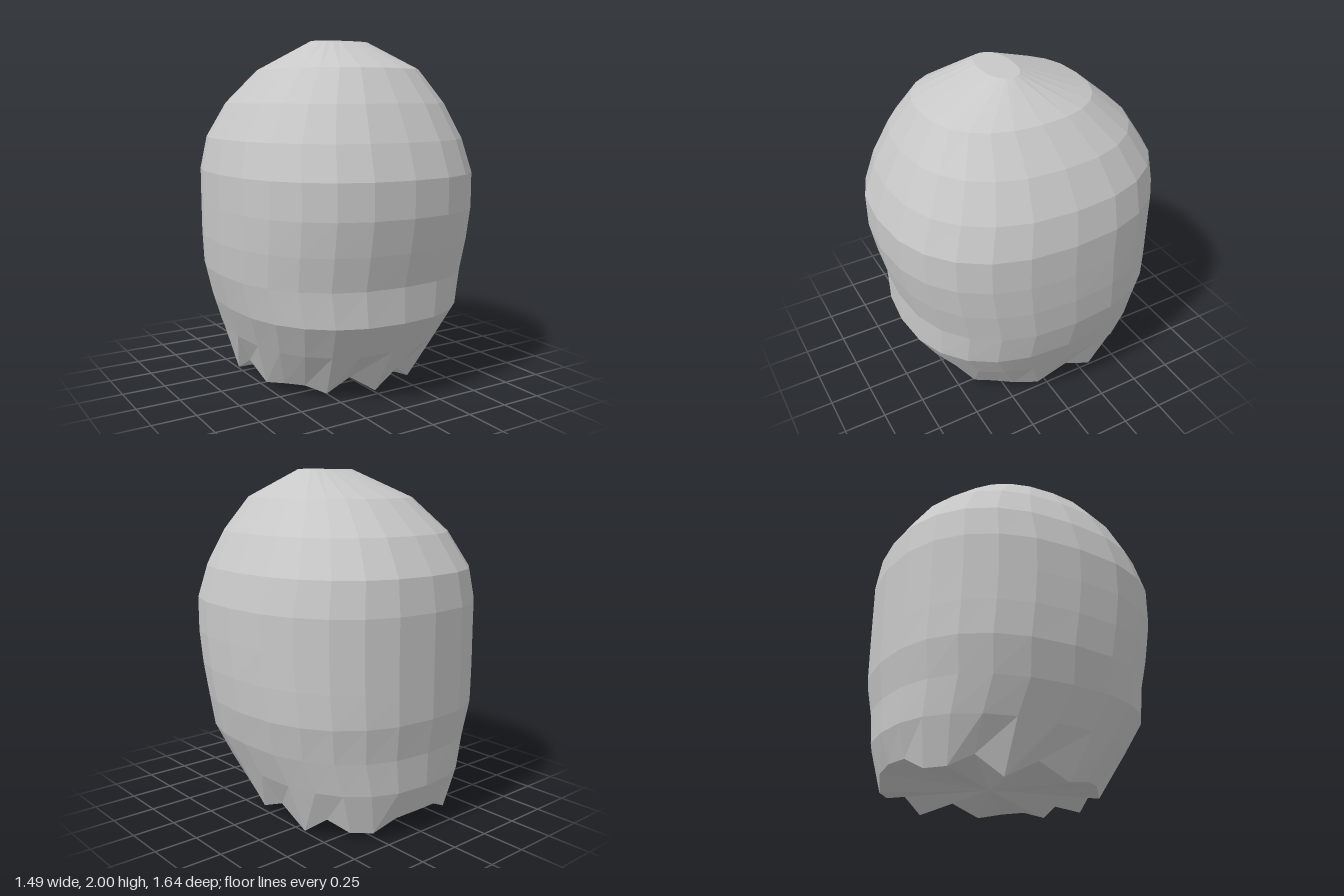
import * as THREE from 'three';

const SEGMENTS = 24;
const ROUNDNESS = 0.84; // below 1 squares off the oval slightly

// Each ring: height, half width, front z, back z
const RINGS = [
  [0, 0.505, 0.47, -0.73],
  [0.29, 0.605, 0.635, -0.785],
  [0.48, 0.68, 0.745, -0.79],
  [0.68, 0.725, 0.745, -0.82],
  [0.87, 0.74, 0.79, -0.82],
  [1.06, 0.745, 0.825, -0.82],
  [1.26, 0.745, 0.825, -0.82],
  [1.45, 0.70, 0.76, -0.79],
  [1.65, 0.595, 0.66, -0.66],
  [1.84, 0.435, 0.53, -0.44],
  [2.0, 0.18, 0.175, -0.02],
];

// Heights of the jagged lower hem, from front centre to back centre
const HEM = [0.015, 0.12, 0.03, 0.07, 0.06, 0.03, 0.11, 0.005, 0.11, 0.05, 0.05, 0.12, 0.13];

const bend = (v) => Math.sign(v) * Math.pow(Math.abs(v), ROUNDNESS);

function ringPoint(i, k) {
  const [y, halfWidth, front, back] = RINGS[i];
  const a = (k / SEGMENTS) * Math.PI * 2;
  const mirrored = Math.min(k, SEGMENTS - k);
  return [
    halfWidth * bend(Math.sin(a)),
    i === 0 ? HEM[mirrored] : y,
    (front + back) / 2 + ((front - back) / 2) * bend(Math.cos(a)),
  ];
}

function facetedGeometry(positions) {
  const g = new THREE.BufferGeometry();
  g.setAttribute('position', new THREE.Float32BufferAttribute(positions.flat(), 3));
  g.computeVertexNormals();
  return g;
}

export function createModel() {
  const group = new THREE.Group();
  group.name = 'hairShell';
  const grey = new THREE.MeshStandardMaterial({ color: 0xc8c8c8 });
  grey.name = 'light grey';

  const wall = [], crown = [], underside = [];
  const top = RINGS.length - 1;
  for (let k = 0; k < SEGMENTS; k++) {
    const n = (k + 1) % SEGMENTS;
    // Faceted outer wall, two triangles per panel
    for (let i = 0; i < top; i++) {
      const a = ringPoint(i, k), b = ringPoint(i, n);
      const c = ringPoint(i + 1, n), d = ringPoint(i + 1, k);
      wall.push(a, b, c, a, c, d);
    }
    // Flat crown and the pleated underside, both fans
    crown.push([0, 2, 0.077], ringPoint(top, k), ringPoint(top, n));
    underside.push([0, 0.07, -0.13], ringPoint(0, n), ringPoint(0, k));
  }

  for (const [name, positions] of Object.entries({ wall, crown, underside })) {
    const mesh = new THREE.Mesh(facetedGeometry(positions), grey);
    mesh.name = name;
    group.add(mesh);
  }
  return group;
}
